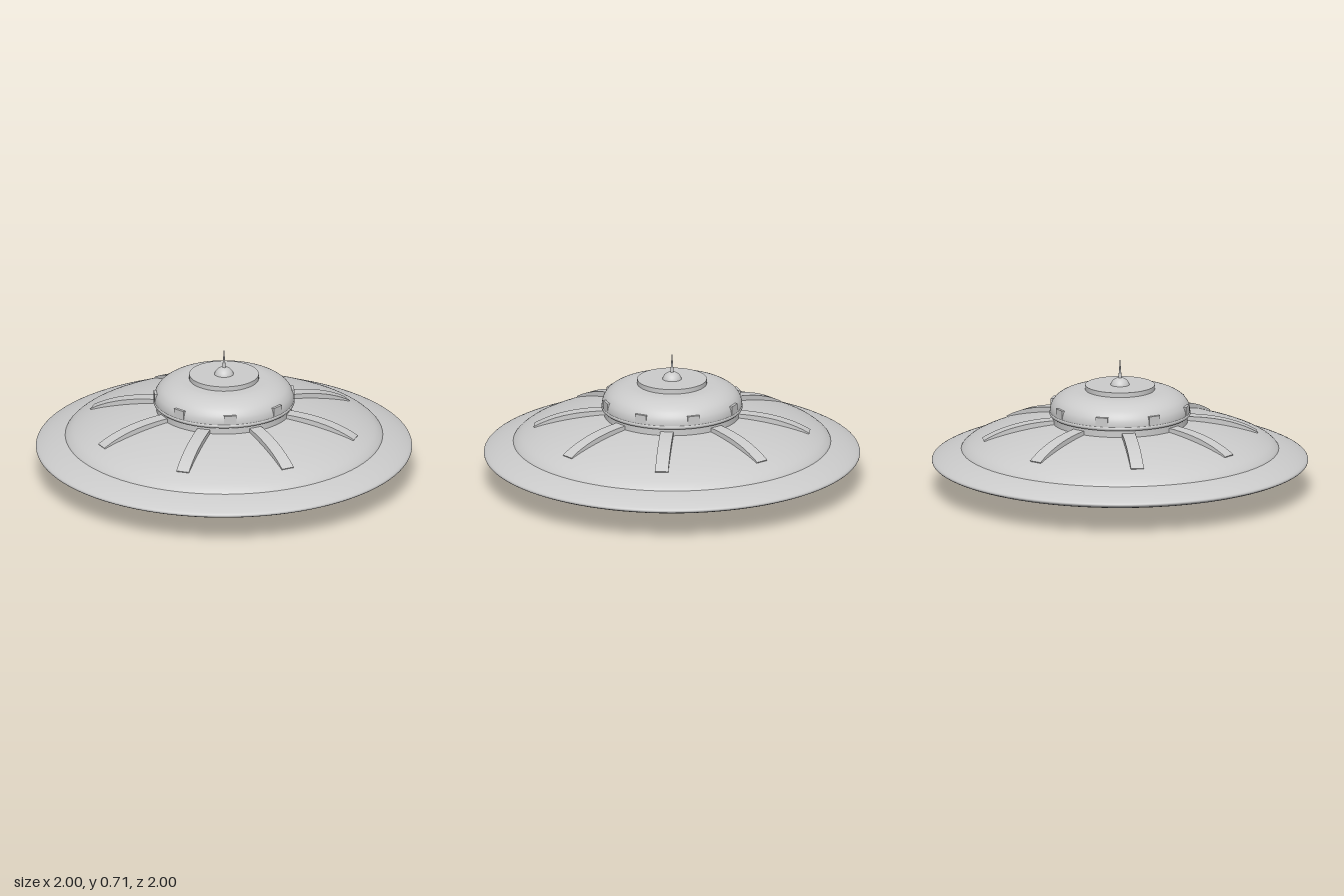
import * as THREE from 'three';

const gray = new THREE.MeshStandardMaterial({ color: 0xcccccc });
const grayDouble = new THREE.MeshStandardMaterial({ color: 0xcccccc, side: THREE.DoubleSide });

const vectors = (pts) => pts.map(([x, y]) => new THREE.Vector2(x, y));

// Smooth surface of revolution; points run from bottom to top
function smoothLathe(pts, divisions = 32, segments = 96) {
  const curve = new THREE.SplineCurve(vectors(pts));
  return new THREE.LatheGeometry(curve.getPoints(divisions), segments);
}

function add(parent, name, geometry, y = 0, material = gray) {
  const mesh = new THREE.Mesh(geometry, material);
  mesh.name = name;
  mesh.position.y = y;
  parent.add(mesh);
  return mesh;
}

export function createModel() {
  const saucer = new THREE.Group();
  saucer.name = 'saucer';

  // Hull: shallow belly, lens-shaped rim and upper dome
  add(saucer, 'belly', smoothLathe(
    [[0, 0], [0.15, 0.004], [0.39, 0.03], [0.58, 0.064], [0.7, 0.095], [0.72, 0.11]]), 0, grayDouble);
  add(saucer, 'rim', smoothLathe(
    [[0.6, 0.084], [0.72, 0.096], [0.86, 0.121], [0.95, 0.142], [0.99, 0.157], [1, 0.168],
      [0.99, 0.181], [0.95, 0.2], [0.9, 0.217], [0.845, 0.231], [0.8, 0.238]], 60), 0, grayDouble);
  add(saucer, 'upperHull', smoothLathe(
    [[0.846, 0.228], [0.835, 0.243], [0.8, 0.268], [0.73, 0.299], [0.64, 0.327],
      [0.53, 0.353], [0.42, 0.372], [0.3, 0.386]]), 0, grayDouble);

  // Cabin: neck, seam band, rounded dome
  add(saucer, 'neck', new THREE.CylinderGeometry(0.36, 0.36, 0.06, 96), 0.392);
  const band = new THREE.TorusGeometry(0.363, 0.013, 12, 96);
  band.rotateX(Math.PI / 2);
  add(saucer, 'cabinBand', band, 0.428);
  add(saucer, 'cabinDome', smoothLathe(
    [[0.372, 0.42], [0.372, 0.45], [0.363, 0.48], [0.34, 0.51], [0.3, 0.535],
      [0.25, 0.55], [0.2, 0.554], [0.1, 0.555], [0, 0.555]], 40));

  // Roof plate, ball and antenna
  add(saucer, 'roofPlate', new THREE.CylinderGeometry(0.185, 0.185, 0.035, 96), 0.562);
  add(saucer, 'antennaBall', new THREE.SphereGeometry(0.053, 32, 20), 0.566);
  add(saucer, 'antenna', new THREE.LatheGeometry(
    vectors([[0.012, 0.6], [0.007, 0.64], [0.004, 0.68], [0.003, 0.712], [0, 0.714]]), 16));

  // Curved rib profile in the radius-height plane, extruded to its width
  const ribShape = new THREE.Shape();
  ribShape.moveTo(0.34, 0.36);
  ribShape.lineTo(0.34, 0.402);
  ribShape.bezierCurveTo(0.5, 0.396, 0.63, 0.365, 0.735, 0.303);
  ribShape.lineTo(0.725, 0.285);
  ribShape.lineTo(0.34, 0.36);
  const ribGeometry = new THREE.ExtrudeGeometry(ribShape, { depth: 0.07, bevelEnabled: false, curveSegments: 20 });
  ribGeometry.translate(0, 0, -0.035);

  // Window blocks sit between the ribs, flush at the bottom of the dome
  const windowGeometry = new THREE.BoxGeometry(0.03, 0.045, 0.066);
  windowGeometry.translate(0.358, 0.464, 0);

  for (let i = 0; i < 8; i++) {
    const angle = (i * Math.PI) / 4;
    add(saucer, 'rib', ribGeometry).rotation.y = angle;
    add(saucer, 'window', windowGeometry).rotation.y = angle + Math.PI / 8;
  }
  return saucer;
}
